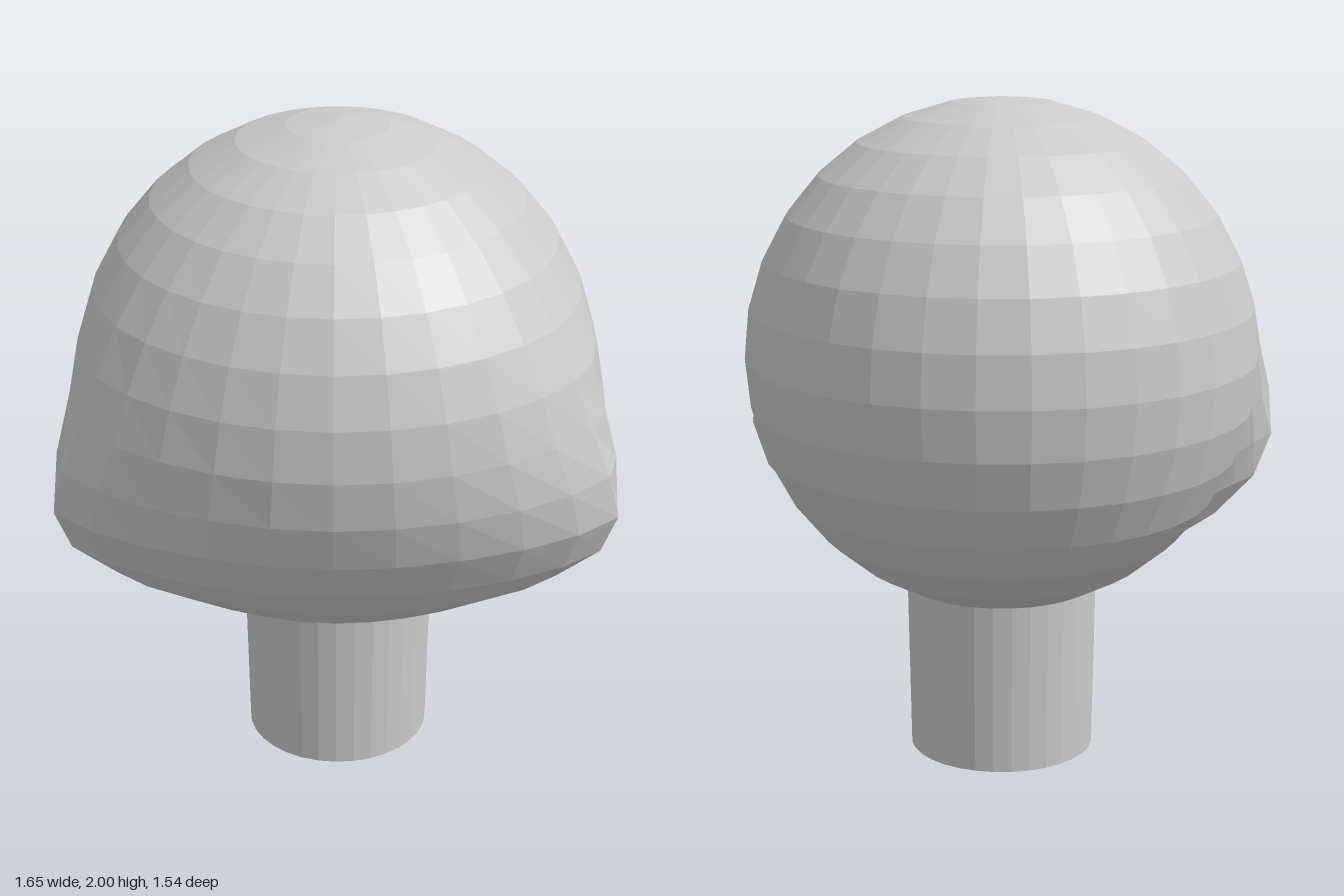
import * as THREE from 'three';

const RADIUS = 0.768;
const SIDES = 32;

// Cheek flare: strength by ring (crown to neck) and by column (front to side).
const RING_FLARE = [0, 0, 0, 0, 0, 0.02, 0.08, 0.18, 0.34, 0.65, 1, 1.2, 1.16, 0.9, 0];
const COLUMN_FLARE = [0.24, 0.25, 0.29, 0.35, 0.38, 0.38, 0.255, 0.1, 0];

function flatMesh(name, geometry) {
  const faceted = geometry.toNonIndexed();
  faceted.computeVertexNormals();
  const material = new THREE.MeshStandardMaterial({ color: 0xcccccc, flatShading: true });
  const mesh = new THREE.Mesh(faceted, material);
  mesh.name = name;
  return mesh;
}

// Ball cut off at the neck, with the lower front widened sideways into cheeks.
function headGeometry() {
  const rings = RING_FLARE.length - 1;
  const geometry = new THREE.SphereGeometry(
    RADIUS, SIDES, rings, 0, Math.PI * 2, 0, (rings / 16) * Math.PI);
  const position = geometry.attributes.position;
  for (let i = 0; i < position.count; i++) {
    const x = position.getX(i);
    const ring = Math.floor(i / (SIDES + 1));
    const azimuth = Math.atan2(Math.abs(x), position.getZ(i));
    const column = Math.round(azimuth / (Math.PI * 2 / SIDES));
    const flare = RING_FLARE[ring] * (COLUMN_FLARE[column] ?? 0);
    position.setX(i, x * (1 + flare));
  }
  return geometry;
}

export function createModel() {
  const model = new THREE.Group();
  model.name = 'headOnNeck';

  const head = flatMesh('head', headGeometry());
  head.position.y = 2 - RADIUS;
  model.add(head);

  // Neck reaches the opening under the head.
  const neckHeight = 0.525;
  const neck = flatMesh('neck', new THREE.CylinderGeometry(0.29, 0.281, neckHeight, SIDES));
  neck.position.y = neckHeight / 2;
  model.add(neck);

  return model;
}
